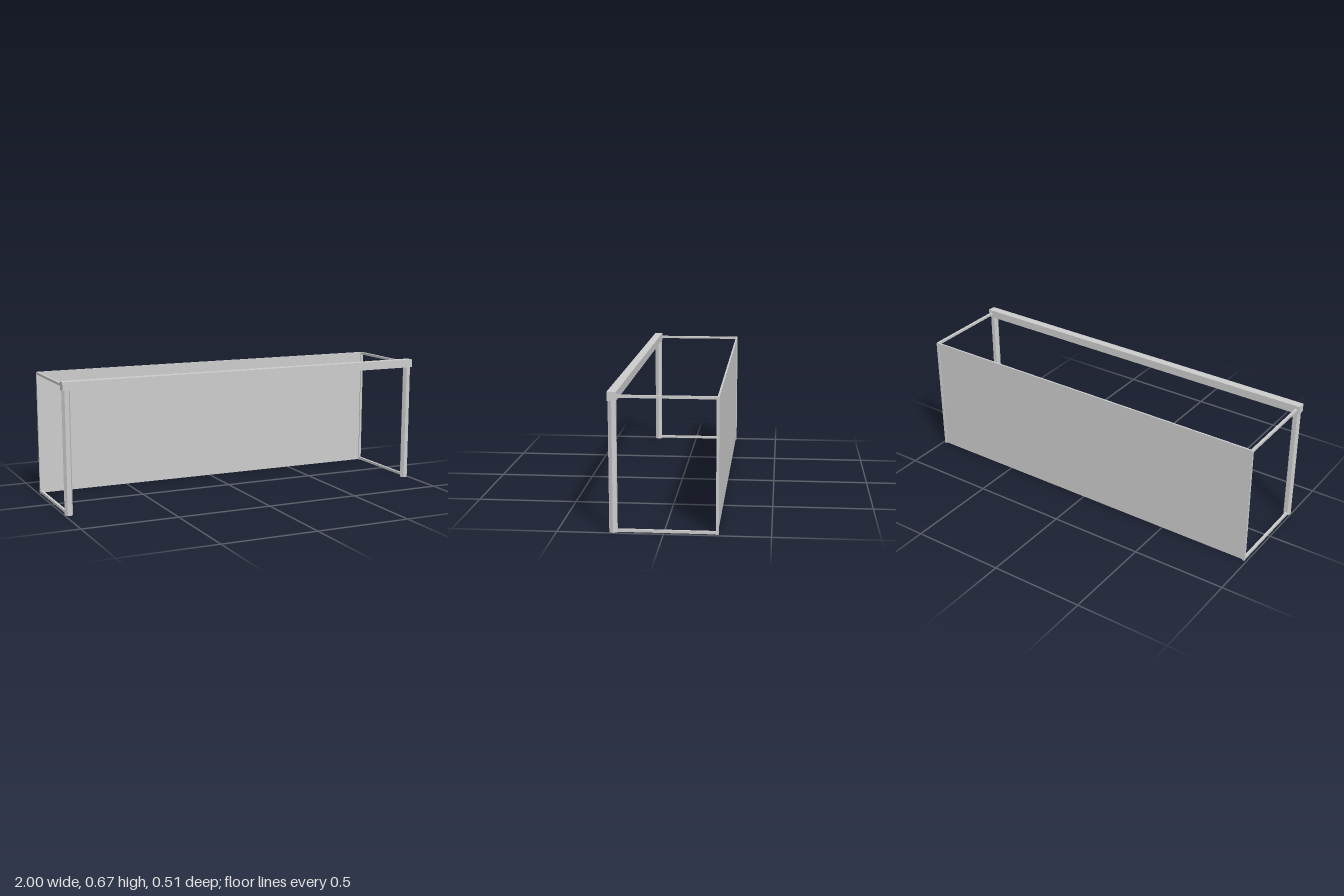
import * as THREE from 'three';

export function createModel() {
  const group = new THREE.Group();
  const material = new THREE.MeshStandardMaterial({ color: 0xcccccc, flatShading: true });

  const add = (name, geometry, x, y, z) => {
    const mesh = new THREE.Mesh(geometry, material);
    mesh.name = name;
    mesh.position.set(x, y, z);
    group.add(mesh);
  };
  // Box given by its lower and upper corners
  const bar = (name, a, b) => add(
    name,
    new THREE.BoxGeometry(b[0] - a[0], b[1] - a[1], b[2] - a[2]),
    (a[0] + b[0]) / 2, (a[1] + b[1]) / 2, (a[2] + b[2]) / 2
  );

  // Square crossbar along the front
  bar('crossbar', [-1, 0.624, 0.214], [1, 0.667, 0.257]);

  for (const [side, s] of [['left', 1], ['right', -1]]) {
    // Hexagonal front post, a corner pointing sideways
    const post = new THREE.CylinderGeometry(0.0214, 0.0214, 0.628, 6);
    post.rotateY(Math.PI / 6);
    add(`${side}FrontPost`, post, s * 0.9786, 0.314, 0.2355);

    // Thin side frame
    const x0 = s * 0.983 - 0.0065, x1 = s * 0.983 + 0.0065;
    bar(`${side}TopRail`, [x0, 0.638, -0.25], [x1, 0.651, 0.22]);
    bar(`${side}BottomRail`, [x0, 0.003, -0.25], [x1, 0.016, 0.23]);
    bar(`${side}BackPost`, [x0, 0, -0.256], [x1, 0.65, -0.243]);
  }

  // Thin bar along the top of the back
  bar('backTopBar', [-0.983, 0.643, -0.256], [0.983, 0.651, -0.247]);

  // Back sheet
  bar('backPanel', [-0.983, 0.002, -0.251], [0.983, 0.647, -0.249]);

  return group;
}
